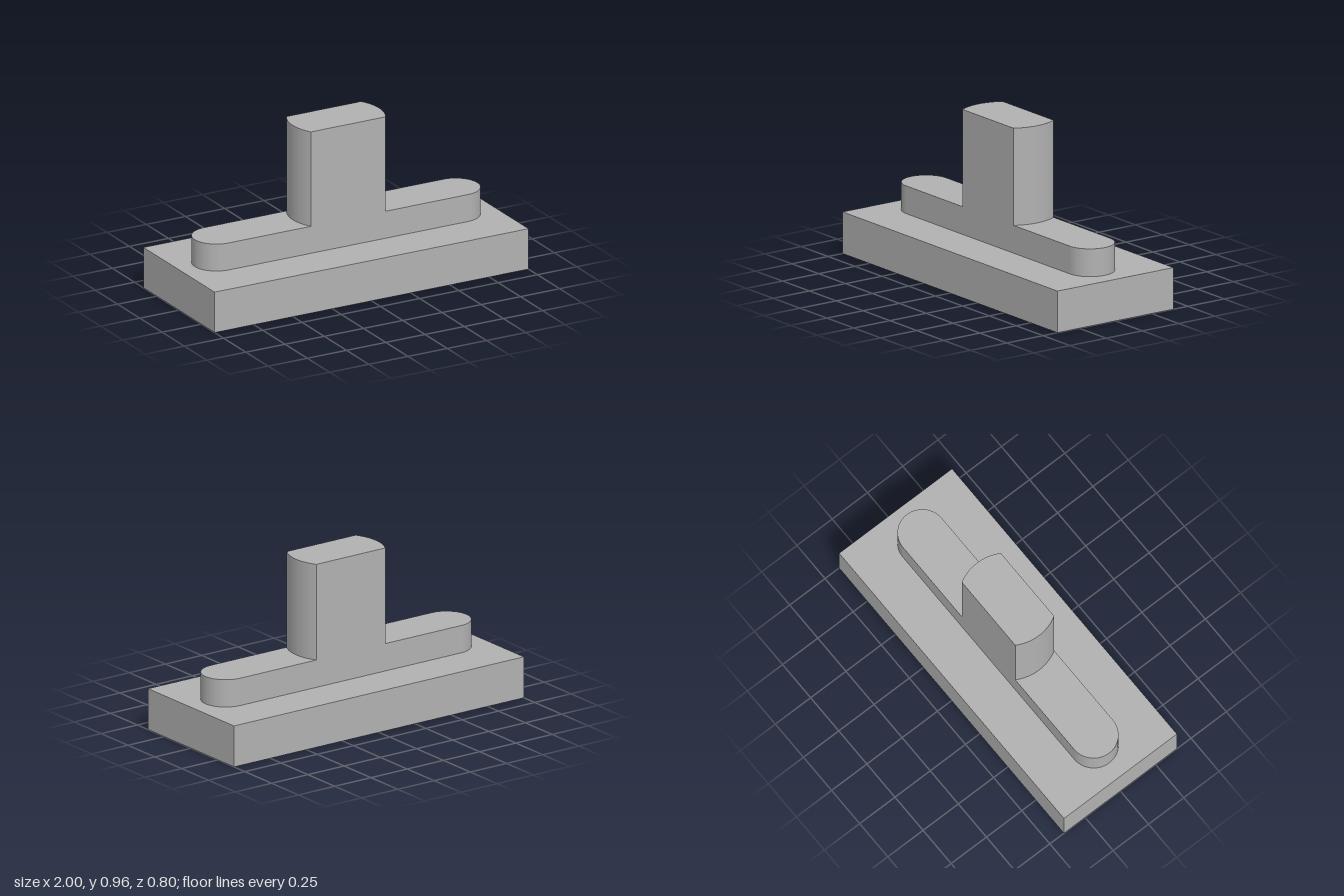
import * as THREE from 'three';

const HALF_WIDTH = 0.138;

// Outline with straight sides and an arc at each end; arcs are centred at +/-cx
function roundEnded(cx, radius) {
  const a = Math.asin(HALF_WIDTH / radius);
  const shape = new THREE.Shape();
  shape.absarc(cx, 0, radius, -a, a, false);
  shape.absarc(-cx, 0, radius, Math.PI - a, Math.PI + a, false);
  shape.closePath();
  return shape;
}

// Upright prism from y0 to y1
function prism(shape, y0, y1, segments) {
  const geometry = new THREE.ExtrudeGeometry(shape, {
    depth: y1 - y0, bevelEnabled: false, curveSegments: segments,
  });
  return geometry.rotateX(-Math.PI / 2).translate(0, y0, 0);
}

export function createModel() {
  const group = new THREE.Group();
  const grey = new THREE.MeshStandardMaterial({ color: 0xb2b2b2 });
  grey.name = 'grey';

  const add = (name, geometry) => {
    const mesh = new THREE.Mesh(geometry, grey);
    mesh.name = name;
    group.add(mesh);
  };

  // Rectangular base block
  add('base', new THREE.BoxGeometry(2, 0.24, 0.8).translate(0, 0.12, 0));
  // Long key with semicircular ends
  add('key', prism(roundEnded(0.9 - HALF_WIDTH, HALF_WIDTH), 0.24, 0.4, 16));
  // Flat-sided stem cut from a cylinder
  add('stem', prism(roundEnded(0, 0.275), 0.4, 0.96, 8));

  return group;
}
